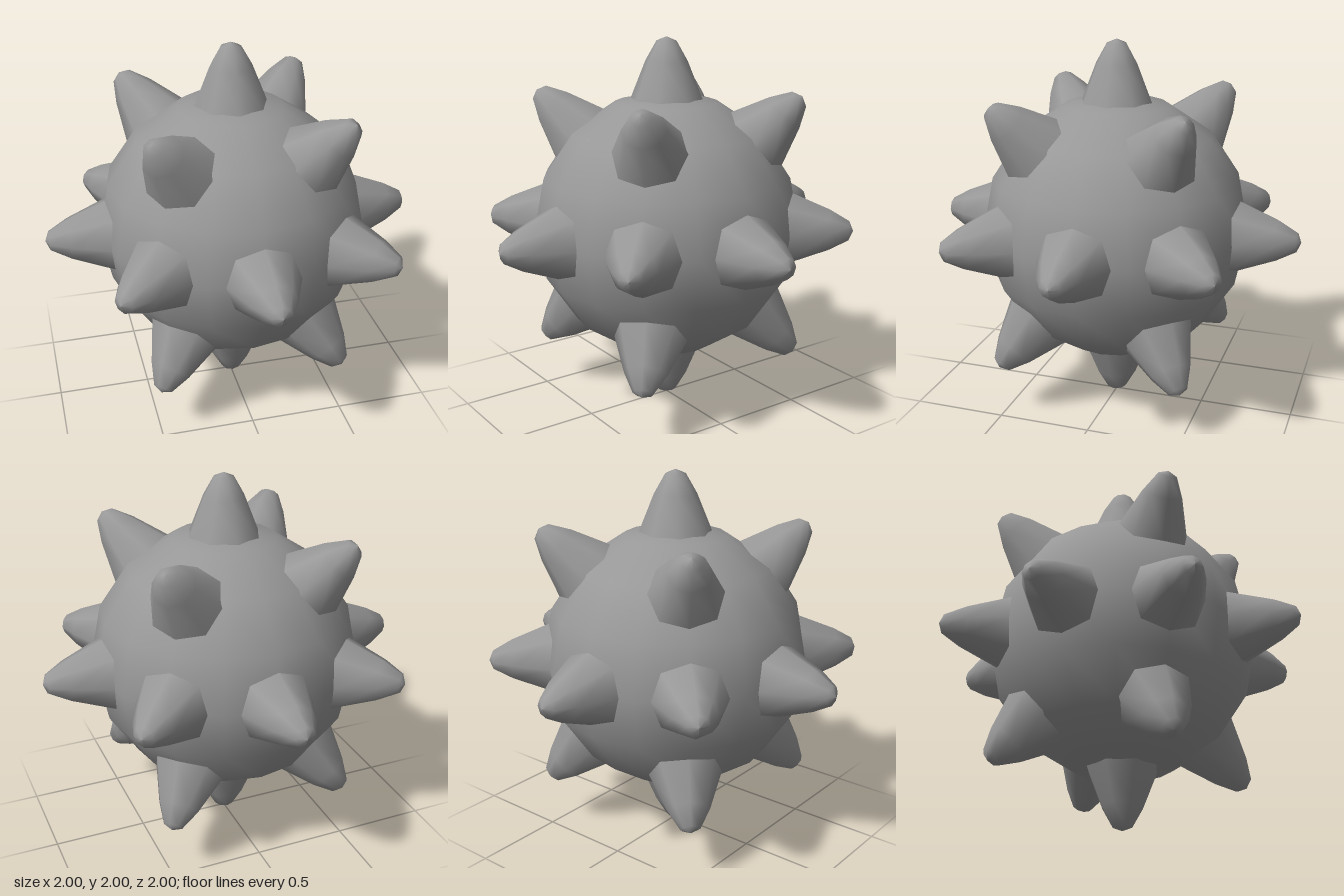
import * as THREE from 'three';

const BODY_RADIUS = 0.715;

// Directions of the 18 spikes: two poles, a ring of eight, and two tilted rings of four
function spikeDirections() {
  const dirs = [new THREE.Vector3(0, 1, 0), new THREE.Vector3(0, -1, 0)];
  const ring = (count, elevation, start) => {
    for (let i = 0; i < count; i++) {
      const a = start + (i / count) * Math.PI * 2;
      dirs.push(new THREE.Vector3(
        Math.cos(elevation) * Math.sin(a), Math.sin(elevation), Math.cos(elevation) * Math.cos(a)));
    }
  };
  ring(8, 0, 0);
  ring(4, Math.PI / 4, Math.PI / 4);
  ring(4, -Math.PI / 4, Math.PI / 4);
  return dirs;
}

export function createModel() {
  const model = new THREE.Group();
  model.name = 'spikedBall';
  const material = new THREE.MeshStandardMaterial({ color: 0x989898 });

  // Round body with few segments
  const body = new THREE.Mesh(new THREE.SphereGeometry(BODY_RADIUS, 16, 8), material);
  body.name = 'body';
  body.position.y = 1;
  model.add(body);

  // Eight-sided spike with a blunt tip; its root is sunk in the body
  const profile = [[0.232, 0.58], [0.195, 0.67], [0.112, 0.875], [0.053, 0.978], [0, 1]]
    .map(([r, y]) => new THREE.Vector2(r, y));
  const spikeGeometry = new THREE.LatheGeometry(profile, 8);

  const up = new THREE.Vector3(0, 1, 0);
  const spikes = new THREE.Group();
  spikes.name = 'spikes';
  spikes.position.y = 1;
  spikeDirections().forEach((dir, i) => {
    const spike = new THREE.Mesh(spikeGeometry, material);
    spike.name = `spike${i + 1}`;
    spike.quaternion.setFromUnitVectors(up, dir);
    spikes.add(spike);
  });
  model.add(spikes);

  return model;
}
